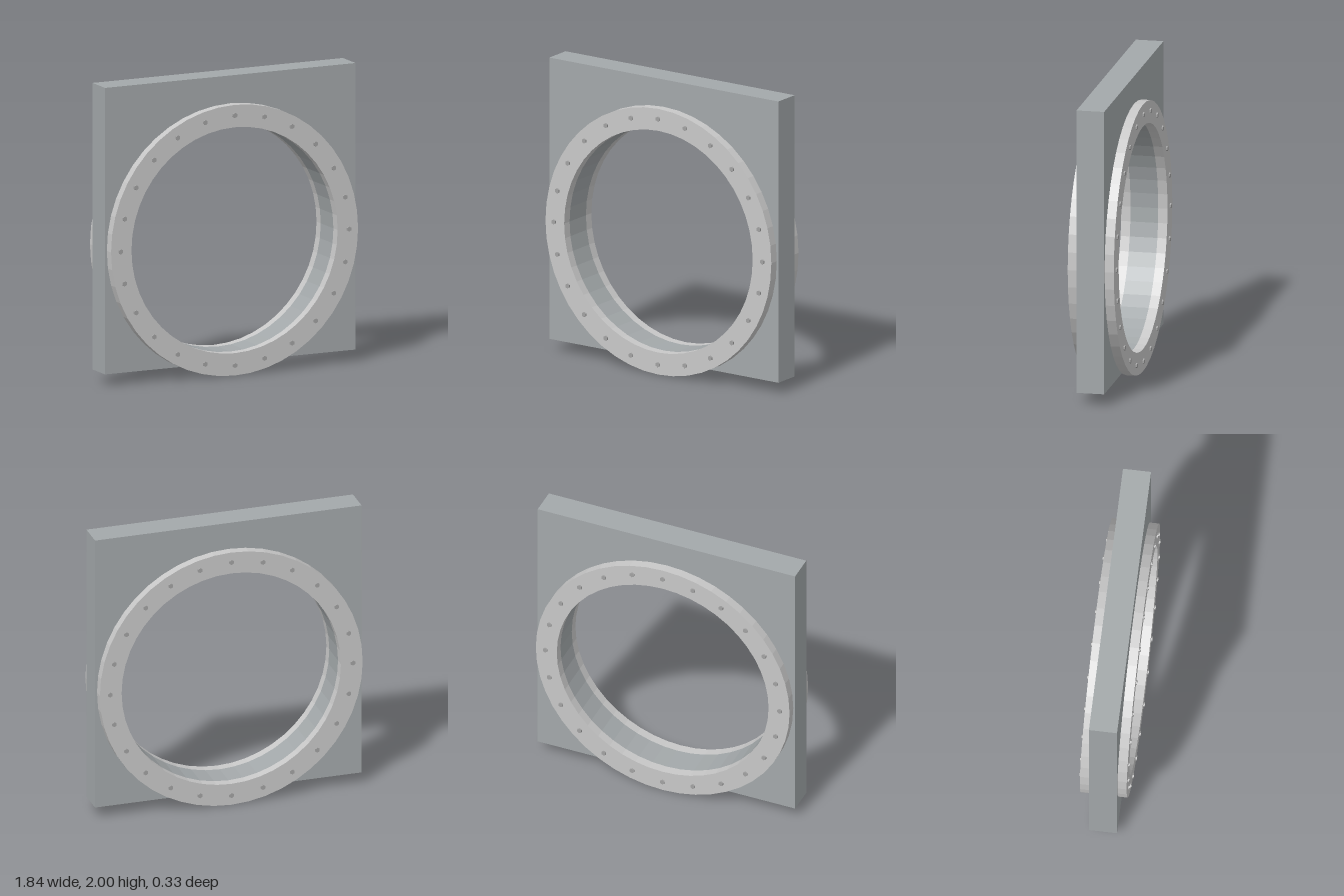
import * as THREE from 'three';

const CENTRE_Y = 0.907, OUTER = 0.907, INNER = 0.757;
const PLATE_HALF = 0.093, RING_DEPTH = 0.062;
const BOLTS = 24, BOLT_CIRCLE = 0.838;

const plateMat = new THREE.MeshStandardMaterial({ color: 0xa3a8aa });
plateMat.name = 'plate grey';
const ringMat = new THREE.MeshStandardMaterial({ color: 0xc8c8c8 });
ringMat.name = 'flange light grey';
const boltMat = new THREE.MeshStandardMaterial({ color: 0xa2a2a2 });
boltMat.name = 'bolt grey';

// Cuts the round opening and extrudes the outline along z (48 flat facets)
function extrudeWithBore(shape, y, depth) {
  shape.holes.push(new THREE.Path().absarc(0, y, INNER, 0, Math.PI * 2, true));
  return new THREE.ExtrudeGeometry(shape, { depth, bevelEnabled: false, curveSegments: 24 });
}

function part(name, geometry, material) {
  const mesh = new THREE.Mesh(geometry, material);
  mesh.name = name;
  return mesh;
}

// A ring with its circle of hexagonal bolt heads, facing +z
function makeFlange(name) {
  const flange = new THREE.Group();
  flange.name = name;
  const disc = new THREE.Shape().absarc(0, 0, OUTER, 0, Math.PI * 2, false);
  const ring = part('flangeRing', extrudeWithBore(disc, 0, RING_DEPTH), ringMat);
  ring.position.z = PLATE_HALF;
  flange.add(ring);

  const head = new THREE.CylinderGeometry(0.017, 0.017, 0.02, 6).toNonIndexed();
  head.computeVertexNormals();
  head.rotateX(Math.PI / 2);
  for (let i = 0; i < BOLTS; i++) {
    const a = (i / BOLTS) * Math.PI * 2;
    const bolt = part('bolt', head, boltMat);
    bolt.position.set(Math.cos(a) * BOLT_CIRCLE, Math.sin(a) * BOLT_CIRCLE, PLATE_HALF + RING_DEPTH);
    flange.add(bolt);
  }
  flange.position.y = CENTRE_Y;
  return flange;
}

export function createModel() {
  const model = new THREE.Group();
  model.name = 'flangedWallPlate';

  // Square plate with the bore
  const outline = new THREE.Shape([
    new THREE.Vector2(-0.92, 0.08), new THREE.Vector2(0.92, 0.08),
    new THREE.Vector2(0.92, 2), new THREE.Vector2(-0.92, 2),
  ]);
  const plate = part('plate', extrudeWithBore(outline, CENTRE_Y, PLATE_HALF * 2), plateMat);
  plate.position.z = -PLATE_HALF;
  model.add(plate);

  // Matching flanges on both faces
  const back = makeFlange('backFlange');
  back.rotation.y = Math.PI;
  model.add(makeFlange('frontFlange'), back);
  return model;
}
